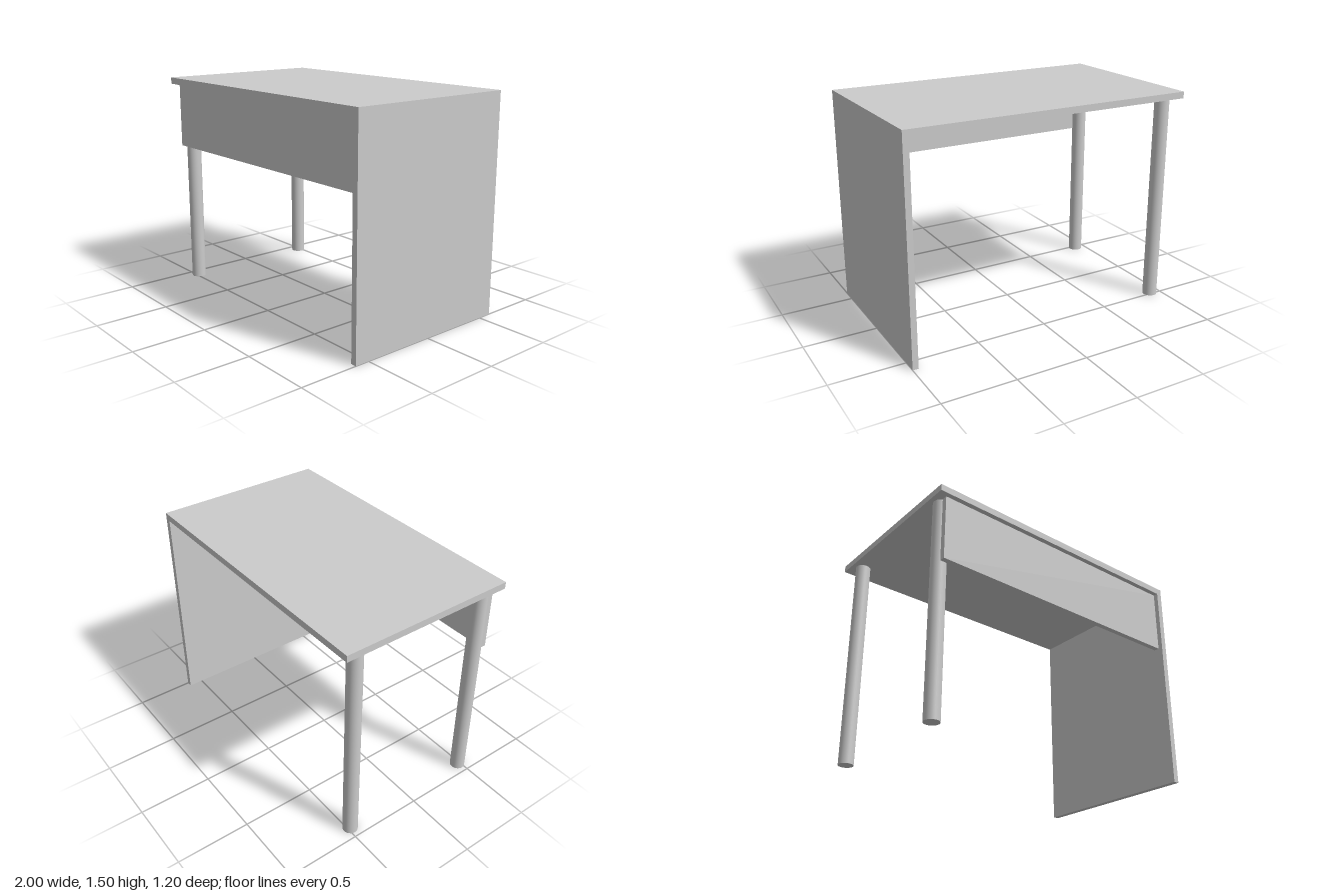
import * as THREE from 'three';

const material = new THREE.MeshStandardMaterial({ color: 0xcccccc });

function addPart(group, name, geometry, x, y, z) {
  const mesh = new THREE.Mesh(geometry, material);
  mesh.name = name;
  mesh.position.set(x, y, z);
  group.add(mesh);
}

export function createModel() {
  const desk = new THREE.Group();
  desk.name = 'desk';

  const height = 1.5, depth = 1.2, underside = 1.455, sideInner = 0.96;

  // Table top and full-height side panel, one flush L-shaped profile
  const profile = new THREE.Shape([
    [-1, underside], [sideInner, underside], [sideInner, 0],
    [1, 0], [1, height], [-1, height],
  ].map(([x, y]) => new THREE.Vector2(x, y)));
  const board = new THREE.ExtrudeGeometry(profile, { depth, bevelEnabled: false });
  addPart(desk, 'topAndSidePanel', board, 0, 0, -depth / 2);

  // Front modesty panel, set back a little under the top
  const left = -0.94, bottom = 1.01, back = 0.53, front = 0.567;
  addPart(desk, 'modestyPanel',
    new THREE.BoxGeometry(sideInner - left, underside - bottom, front - back),
    (left + sideInner) / 2, (bottom + underside) / 2, (back + front) / 2);

  // Two round legs at the open end
  const legGeometry = new THREE.CylinderGeometry(0.05, 0.05, underside, 32);
  for (const [name, z] of [['frontLeg', 0.48], ['backLeg', -0.48]]) {
    addPart(desk, name, legGeometry, -0.92, underside / 2, z);
  }

  return desk;
}
